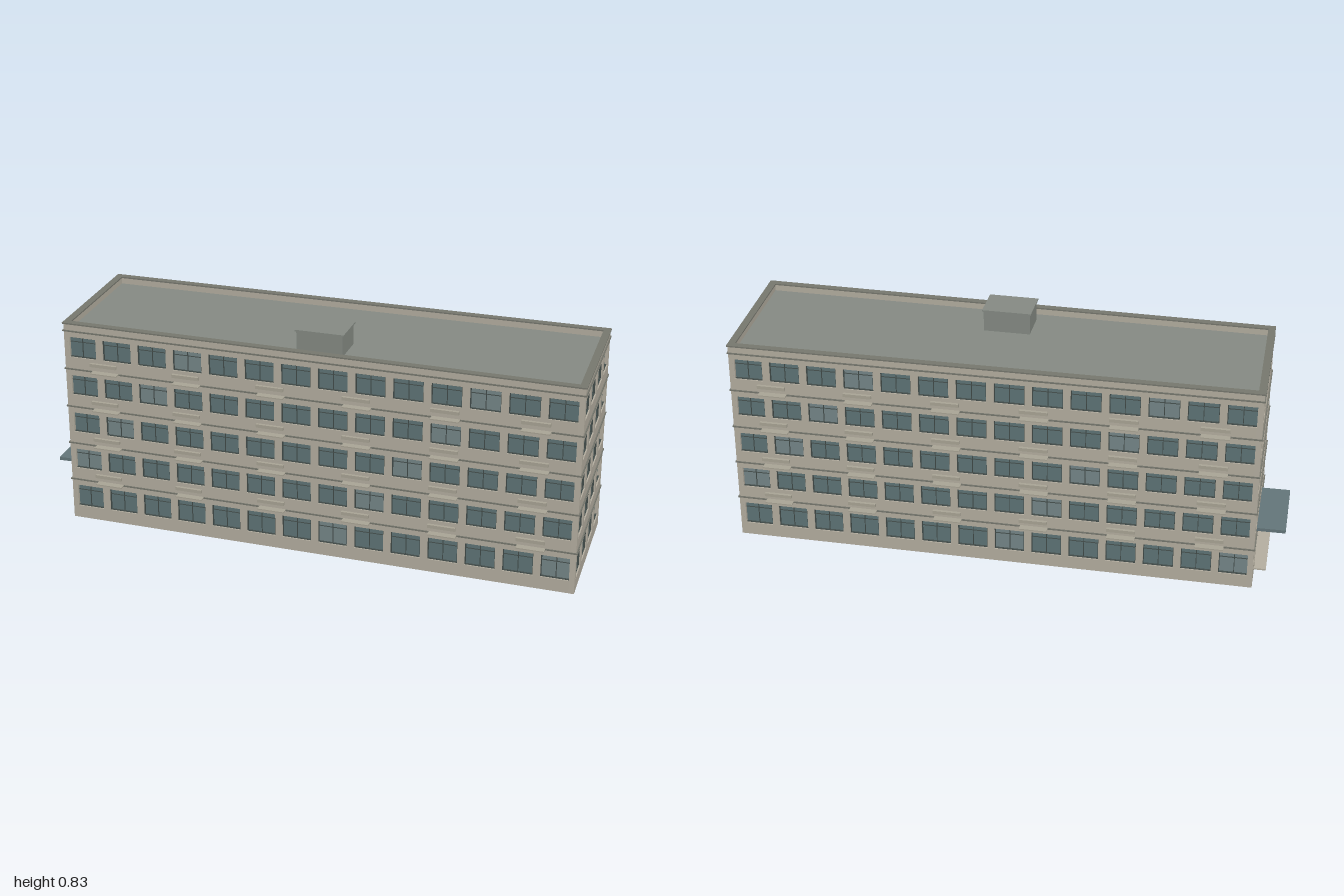
import * as THREE from 'three';

const paint = (color) => new THREE.MeshStandardMaterial({ color });
const WALL = paint(0xb5afa1), TRIM = paint(0x77786f), GLASS = paint(0x5f7577), PALE = paint(0x768789);
const FRAME = paint(0x434d4b), ROOF = paint(0x868b84), RAIL = paint(0xaaa596), CANOPY = paint(0x64767a);

// Slightly skewed footprint, corner [x, z] in order front-left, front-right, back-right, back-left on screen
const CORNERS = [[-0.888, 0.259], [0.995, 0.272], [0.978, -0.277], [-0.9, -0.263]];
const WALL_TOP = 0.77, THICK = 0.02, ROOF_Y = 0.746;
// Window sill and head of each storey, and the band above it
const STOREYS = [[0.048, 0.133], [0.203, 0.28], [0.349, 0.425], [0.497, 0.572], [0.643, 0.72]];
const BANDS = [0.157, 0.304, 0.45, 0.597, 0.743];
const DOOR = { w: 0.22, y0: 0.008, y1: 0.148 };

function box(parent, name, mat, w, h, d, x, y, z) {
  const mesh = new THREE.Mesh(new THREE.BoxGeometry(w, h, d), mat);
  mesh.name = name;
  mesh.position.set(x, y, z);
  parent.add(mesh);
  return mesh;
}

function rectPath(path, x0, y0, x1, y1) {
  path.moveTo(x0, y0);
  path.lineTo(x1, y0);
  path.lineTo(x1, y1);
  path.lineTo(x0, y1);
  path.closePath();
  return path;
}

// Glazing with border, centre mullions and a transom, set back in its opening
function addWindow(parent, name, x0, y0, x1, y1, glass, mullions) {
  const g = new THREE.Group();
  g.name = name;
  const w = x1 - x0, h = y1 - y0, cx = (x0 + x1) / 2, cy = (y0 + y1) / 2, b = 0.0025;
  box(g, 'glass', glass, w, h, 0.004, cx, cy, -0.014);
  for (const s of [-1, 1]) {
    box(g, 'frameSide', FRAME, b, h, 0.007, cx + s * (w - b) / 2, cy, -0.0085);
    box(g, 'frameRail', FRAME, w, b, 0.007, cx, cy + s * (h - b) / 2, -0.0085);
  }
  for (let i = 1; i <= mullions; i++)
    box(g, 'mullion', FRAME, 0.0025, h, 0.004, x0 + w * i / (mullions + 1), cy, -0.0105);
  box(g, 'transom', FRAME, w, 0.002, 0.004, cx, y0 + h * 0.75, -0.0105);
  parent.add(g);
}

// One elevation: local x runs along the wall, local z points outward
function facade(name, a, b, bays, { balconies = false, entrance = false, pale = [] }) {
  const g = new THREE.Group();
  g.name = name;
  const dx = b[0] - a[0], dz = b[1] - a[1], len = Math.hypot(dx, dz);
  g.position.set(a[0], 0, a[1]);
  g.rotation.y = Math.atan2(-dz, dx);

  const shape = rectPath(new THREE.Shape(), 0, 0, len, WALL_TOP);
  const opening = (label, x0, y0, x1, y1, glass, mullions) => {
    shape.holes.push(rectPath(new THREE.Path(), x0, y0, x1, y1));
    addWindow(g, label, x0, y0, x1, y1, glass, mullions);
  };
  const pitch = len / bays, half = 0.054;
  STOREYS.forEach(([y0, y1], f) => {
    for (let i = 0; i < bays; i++) {
      if (entrance && f === 0 && (i === 1 || i === 2)) continue;
      const x = (i + 0.5) * pitch;
      opening('window', x - half, y0, x + half, y1, pale.includes(i - f) ? PALE : GLASS, 1);
    }
  });
  if (entrance)
    opening('entranceDoors', len / 2 - DOOR.w / 2, DOOR.y0, len / 2 + DOOR.w / 2, DOOR.y1, GLASS, 3);

  const geo = new THREE.ExtrudeGeometry(shape, { depth: THICK, bevelEnabled: false });
  geo.translate(0, 0, -THICK);
  const wall = new THREE.Mesh(geo, WALL);
  wall.name = 'wall';
  g.add(wall);

  // Storey bands and parapet coping
  for (const y of BANDS) box(g, 'band', TRIM, len + 0.008, 0.005, 0.008, len / 2, y, 0);
  box(g, 'coping', TRIM, len + 0.008, 0.005, THICK + 0.006, len / 2, WALL_TOP + 0.001, -THICK / 2 + 0.001);

  // Shallow balconies: thin slab with a rail along its outer edge
  if (balconies)
    for (const y of BANDS.slice(0, 4))
      for (let i = 0; i < 6; i++) {
        const x = (i + 0.5) * len / 6;
        box(g, 'balconySlab', RAIL, 0.1, 0.004, 0.026, x, y + 0.001, 0.013);
        box(g, 'balconyRail', RAIL, 0.1, 0.012, 0.011, x, y + 0.034, 0.0205);
      }

  // Canopy and doorstep
  if (entrance) {
    box(g, 'canopy', CANOPY, 0.284, 0.012, 0.104, len / 2, 0.169, 0.05);
    box(g, 'doorstep', WALL, 0.284, 0.006, 0.042, len / 2, 0.003, 0.021);
  }
  return g;
}

export function createModel() {
  const model = new THREE.Group();
  model.name = 'building';

  // Solid core: floor underside and flat roof
  const inset = 0.017;
  const outline = new THREE.Shape(CORNERS.map(([x, z]) =>
    new THREE.Vector2(x - Math.sign(x) * inset, -z + Math.sign(z) * inset)));
  const coreGeo = new THREE.ExtrudeGeometry(outline, { depth: ROOF_Y - 0.001, bevelEnabled: false });
  coreGeo.rotateX(-Math.PI / 2).translate(0, 0.001, 0);
  const core = new THREE.Mesh(coreGeo, ROOF);
  core.name = 'roofAndCore';
  model.add(core);

  const long = { balconies: true, pale: [-1, 7, 13] };
  const [p, q, r, s] = CORNERS;
  model.add(
    facade('frontFacade', p, q, 14, long),
    facade('leftEnd', q, r, 4, { pale: [3, -4] }),
    facade('backFacade', r, s, 14, long),
    facade('rightEnd', s, p, 4, { entrance: true, pale: [3, -4] }),
  );

  // Rooftop stair housing
  const house = new THREE.Group();
  house.name = 'roofHousing';
  box(house, 'housingBody', ROOF, 0.168, 0.08, 0.126, 0.052, 0.783, 0.138);
  box(house, 'housingCap', ROOF, 0.178, 0.006, 0.136, 0.052, 0.825, 0.138);
  model.add(house);
  return model;
}
